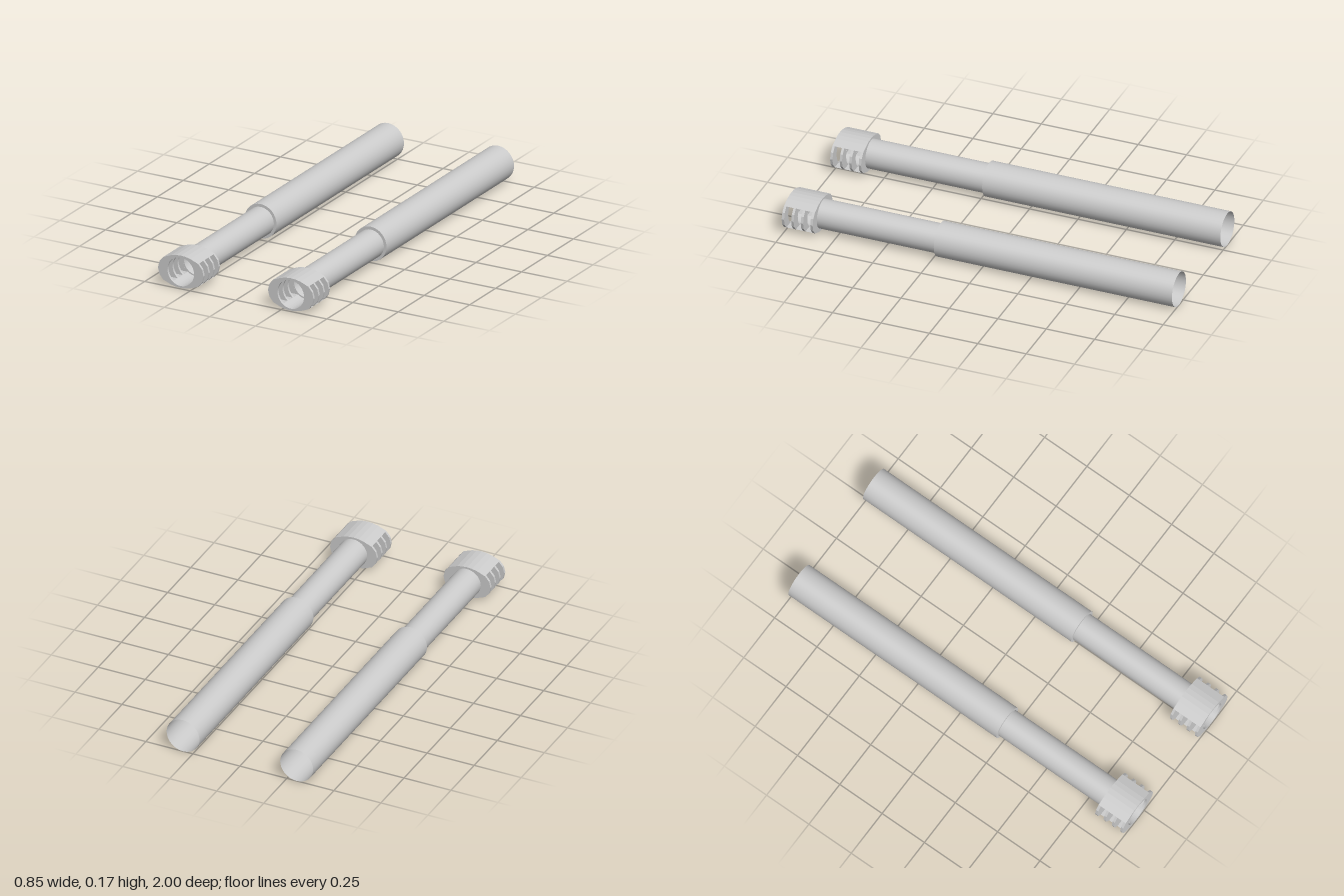
import * as THREE from 'three';

const material = new THREE.MeshStandardMaterial({ color: 0xcccccc, side: THREE.DoubleSide });

const SLEEVE_R = 0.0875, TUBE_R = 0.073, BORE_R = 0.066;
const BACK = -1, STEP = 0.23, BRAKE = 0.84, FRONT = 1;
const FIN = 0.0125, SLOT_Y = 0.058;

// Quarter outline of the muzzle brake, from the top to the slot edge, then round the side
const crown = [[0, 0.083], [0.027, 0.081], [0.053, 0.075], [0.096, SLOT_Y]];
const side = [[0.117, 0.033], [0.125, 0]];

function addMesh(parent, name, geometry) {
  const mesh = new THREE.Mesh(geometry, material);
  mesh.name = name;
  parent.add(mesh);
  return mesh;
}

// Profile of [radius, z] points turned round the barrel axis, flat per profile segment
function turned(parent, name, profile) {
  const group = new THREE.Group();
  group.name = name;
  for (let i = 1; i < profile.length; i++) {
    const pts = [profile[i - 1], profile[i]].map(([r, z]) => new THREE.Vector2(r, z));
    addMesh(group, name + 'Surface', new THREE.LatheGeometry(pts, 32).rotateX(Math.PI / 2));
  }
  parent.add(group);
}

function extrude(shape, z, depth) {
  return new THREE.ExtrudeGeometry(shape, { depth, bevelEnabled: false, curveSegments: 24 }).translate(0, 0, z);
}

// Full brake cross-section with a round hole
function finShape() {
  const half = [...crown, ...side];
  const right = [...half, ...half.slice(0, -1).reverse().map(([x, y]) => [x, -y])];
  const left = right.slice(1, -1).reverse().map(([x, y]) => [-x, y]);
  const shape = new THREE.Shape([...right, ...left].map(p => new THREE.Vector2(...p)));
  shape.holes.push(new THREE.Path().absarc(0, 0, TUBE_R, 0, Math.PI * 2, true));
  return shape;
}

// Upper wall between the fins, with the bore cut from below
function wallShape() {
  const pts = [...crown.slice(1).reverse().map(([x, y]) => [-x, y]), ...crown];
  const a = Math.asin(SLOT_Y / TUBE_R);
  for (let i = 0; i <= 10; i++) {
    const t = a + (Math.PI - 2 * a) * i / 10;
    pts.push([TUBE_R * Math.cos(t), TUBE_R * Math.sin(t)]);
  }
  return new THREE.Shape(pts.map(p => new THREE.Vector2(...p)));
}

function muzzleBrake() {
  const brake = new THREE.Group();
  brake.name = 'muzzleBrake';
  const pitch = (FRONT - BRAKE - FIN) / 3;
  for (let i = 0; i < 4; i++) {
    const z = BRAKE + i * pitch;
    addMesh(brake, 'fin', extrude(finShape(), z, FIN));
    if (i === 3) break;
    const wall = extrude(wallShape(), z + FIN, pitch - FIN);
    addMesh(brake, 'upperWall', wall);
    addMesh(brake, 'lowerWall', wall.clone().rotateZ(Math.PI));
  }
  return brake;
}

function barrel(name, x) {
  const group = new THREE.Group();
  group.name = name;
  // Rear sleeve, open at the back and closed at the step
  turned(group, 'sleeve', [[SLEEVE_R, BACK], [SLEEVE_R, STEP], [0, STEP]]);
  // Slimmer front tube with its bore
  turned(group, 'tube', [[TUBE_R, STEP], [TUBE_R, BRAKE + FIN], [BORE_R, BRAKE + FIN], [BORE_R, STEP]]);
  group.add(muzzleBrake());
  group.position.set(x, 0.09, 0);
  return group;
}

export function createModel() {
  const model = new THREE.Group();
  model.name = 'twinBarrels';
  model.add(barrel('leftBarrel', 0.302), barrel('rightBarrel', -0.302));
  return model;
}
